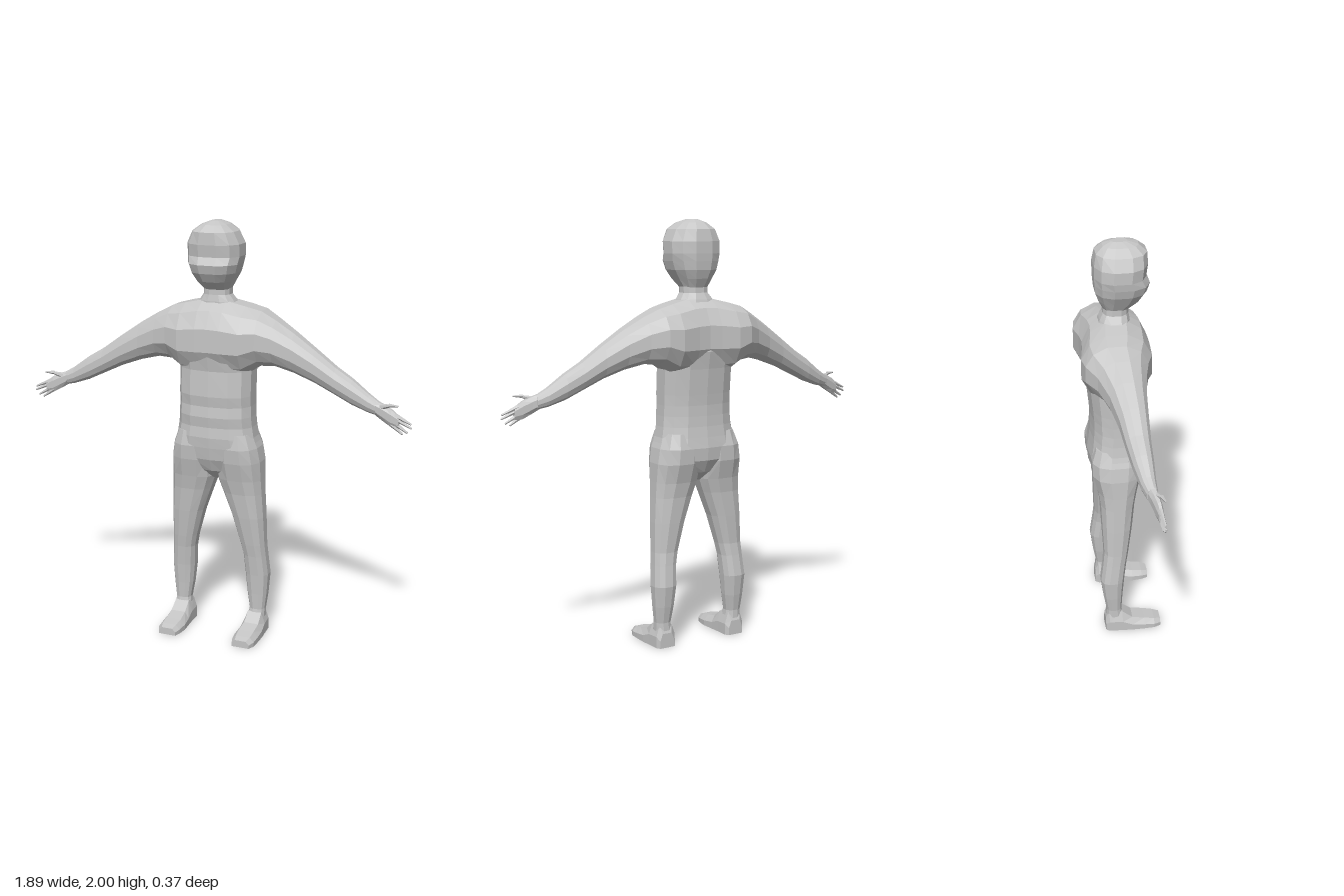
import * as THREE from 'three';

const skin = new THREE.MeshStandardMaterial({ color: 0xc6c6c6 });
skin.name = 'plain grey';

// Faceted mesh: unshared vertices give flat normals
function faceted(name, geometry) {
  const g = geometry.index ? geometry.toNonIndexed() : geometry;
  g.computeVertexNormals();
  const mesh = new THREE.Mesh(g, skin);
  mesh.name = name;
  return mesh;
}

// Rounded section between a0..a1 and b0..b1; low power = boxier
function section(a0, a1, b0, b1, place, sides = 12, power = 0.8) {
  const soft = (v) => Math.sign(v) * Math.pow(Math.abs(v), power);
  return Array.from({ length: sides }, (_, i) => {
    const t = ((i + 0.5) / sides) * Math.PI * 2;
    // stretch so that the outer corners reach the stated limits
    const k = 1 / soft(Math.cos(Math.PI / sides));
    const a = (a0 + a1) / 2 + ((a1 - a0) / 2) * soft(Math.cos(t)) * k;
    const b = (b0 + b1) / 2 + ((b1 - b0) / 2) * soft(Math.sin(t)) * k;
    return place(a, b);
  });
}

// Closed skin over a list of sections, wound outward
function loft(name, rings) {
  const tris = [];
  const n = rings[0].length;
  const centre = (r) => r.reduce((s, p) => s.add(p), new THREE.Vector3()).divideScalar(n);
  const first = centre(rings[0]);
  const last = centre(rings[rings.length - 1]);
  for (let i = 0; i < n; i++) {
    const j = (i + 1) % n;
    for (let r = 0; r < rings.length - 1; r++) {
      const a = rings[r], b = rings[r + 1];
      tris.push([a[i], a[j], b[j]], [a[i], b[j], b[i]]);
    }
    const end = rings[rings.length - 1];
    tris.push([first, rings[0][j], rings[0][i]], [last, end[i], end[j]]);
  }
  const volume = tris.reduce((s, [a, b, c]) => s + a.dot(b.clone().cross(c)), 0);
  const points = tris.flatMap(([a, b, c]) => (volume < 0 ? [a, c, b] : [a, b, c]));
  return faceted(name, new THREE.BufferGeometry().setFromPoints(points));
}

// Sections stacked up y: [y, x0, x1, zBack, zFront]
const upright = (name, rows, side = 1, sides = 12, power = 0.8) =>
  loft(name, rows.map(([y, x0, x1, z0, z1]) =>
    section(x0, x1, z0, z1, (x, z) => new THREE.Vector3(x * side, y, z), sides, power)));

// Sections along x: [x, yBottom, yTop, zBack, zFront]
const sideways = (name, rows, side = 1, sides = 12, power = 0.9) =>
  loft(name, rows.map(([x, y0, y1, z0, z1]) =>
    section(y0, y1, z0, z1, (y, z) => new THREE.Vector3(x * side, y, z), sides, power)));

// Tapered finger between two points
function finger(name, from, to, radius, side) {
  const a = new THREE.Vector3(from[0] * side, from[1], from[2]);
  const b = new THREE.Vector3(to[0] * side, to[1], to[2]);
  const dir = b.clone().sub(a);
  const mesh = faceted(name, new THREE.CylinderGeometry(radius * 0.4, radius, dir.length(), 6));
  mesh.position.copy(a).add(b).multiplyScalar(0.5);
  mesh.quaternion.setFromUnitVectors(new THREE.Vector3(0, 1, 0), dir.normalize());
  return mesh;
}

export function createModel() {
  const model = new THREE.Group();
  model.name = 'figure';

  // Head with brow, nose line, jaw and neck
  model.add(upright('head', [
    [1.69, -0.062, 0.062, -0.07, 0.05],
    [1.73, -0.085, 0.085, -0.09, 0.1],
    [1.77, -0.108, 0.108, -0.104, 0.125],
    [1.81, -0.12, 0.12, -0.108, 0.137],
    [1.845, -0.126, 0.126, -0.11, 0.12],
    [1.9, -0.126, 0.126, -0.11, 0.127],
    [1.955, -0.1, 0.1, -0.1, 0.125],
    [1.985, -0.06, 0.06, -0.068, 0.09],
    [2.0, -0.022, 0.022, -0.03, 0.04],
  ]));
  model.add(upright('neck', [
    [1.59, -0.11, 0.11, -0.1, 0.05],
    [1.635, -0.085, 0.085, -0.085, 0.05],
    [1.665, -0.064, 0.064, -0.07, 0.045],
    [1.71, -0.064, 0.064, -0.068, 0.045],
  ]));

  // Trunk from crotch to ribs, with shallow belly folds
  model.add(upright('trunk', [
    [0.785, -0.015, 0.015, -0.06, 0.03],
    [0.83, -0.09, 0.09, -0.11, 0.07],
    [0.89, -0.19, 0.19, -0.14, 0.095],
    [0.95, -0.208, 0.208, -0.145, 0.105],
    [1.0, -0.192, 0.192, -0.138, 0.11],
    [1.05, -0.184, 0.184, -0.132, 0.106],
    [1.1, -0.18, 0.18, -0.13, 0.113],
    [1.15, -0.178, 0.178, -0.13, 0.108],
    [1.2, -0.178, 0.178, -0.134, 0.115],
    [1.32, -0.178, 0.178, -0.146, 0.11],
    [1.4, -0.175, 0.175, -0.16, 0.125],
    [1.47, -0.13, 0.13, -0.15, 0.12],
  ], 1, 14));

  // Chest, shoulders and both arms as one skin, wrist to wrist
  const arm = [
    [0.06, 1.29, 1.638, -0.17, 0.136],
    [0.15, 1.3, 1.617, -0.186, 0.132],
    [0.22, 1.345, 1.598, -0.175, 0.105],
    [0.29, 1.35, 1.562, -0.13, 0.085],
    [0.38, 1.328, 1.508, -0.092, 0.07],
    [0.48, 1.292, 1.44, -0.066, 0.062],
    [0.58, 1.245, 1.368, -0.05, 0.056],
    [0.66, 1.207, 1.32, -0.036, 0.054],
    [0.74, 1.18, 1.262, -0.016, 0.05],
    [0.79, 1.17, 1.232, 0.002, 0.05],
  ];
  const mirrored = arm.map(([x, ...rest]) => [-x, ...rest]).reverse();
  model.add(sideways('chestAndArms', [...mirrored, [0, 1.29, 1.642, -0.164, 0.136], ...arm]));

  for (const [label, side] of [['left', 1], ['right', -1]]) {
    // Hand: palm, four fingers and thumb
    const hand = new THREE.Group();
    hand.name = label + 'Hand';
    hand.add(sideways('palm', [
      [0.775, 1.173, 1.238, 0.0, 0.05],
      [0.81, 1.152, 1.226, 0.014, 0.054],
      [0.85, 1.13, 1.208, 0.026, 0.058],
      [0.885, 1.128, 1.182, 0.036, 0.058],
    ], side, 8));
    [
      [[0.865, 1.185, 0.045], [0.942, 1.152, 0.054]],
      [[0.865, 1.17, 0.046], [0.945, 1.134, 0.055]],
      [[0.86, 1.152, 0.046], [0.927, 1.112, 0.055]],
      [[0.85, 1.142, 0.045], [0.905, 1.103, 0.053]],
    ].forEach(([a, b], i) => hand.add(finger('finger' + (i + 1), a, b, 0.011, side)));
    hand.add(finger('thumb', [0.8, 1.215, 0.04], [0.85, 1.23, 0.058], 0.014, side));
    hand.add(finger('thumbTip', [0.84, 1.229, 0.055], [0.883, 1.231, 0.064], 0.009, side));
    model.add(hand);

    // Leg from hip to ankle
    model.add(upright(label + 'Leg', [
      [0.06, 0.15, 0.235, -0.088, 0.0],
      [0.12, 0.158, 0.234, -0.086, -0.012],
      [0.2, 0.145, 0.243, -0.1, -0.008],
      [0.3, 0.135, 0.25, -0.113, 0.0],
      [0.4, 0.128, 0.242, -0.1, 0.012],
      [0.46, 0.115, 0.238, -0.094, 0.022],
      [0.6, 0.076, 0.234, -0.1, 0.042],
      [0.72, 0.032, 0.228, -0.104, 0.056],
      [0.79, 0.006, 0.225, -0.114, 0.07],
      [0.88, 0.0, 0.222, -0.138, 0.092],
      [0.95, 0.01, 0.21, -0.14, 0.1],
      [1.02, 0.04, 0.182, -0.12, 0.09],
    ], side));

    // Foot, heel to toe: [z, x0, x1, top]
    model.add(loft(label + 'Foot', [
      [-0.092, 0.155, 0.23, 0.07],
      [-0.075, 0.142, 0.242, 0.11],
      [-0.01, 0.14, 0.246, 0.105],
      [0.04, 0.137, 0.25, 0.066],
      [0.1, 0.132, 0.25, 0.052],
      [0.15, 0.138, 0.248, 0.043],
      [0.182, 0.148, 0.235, 0.034],
    ].map(([z, x0, x1, top]) => {
      const inset = (x1 - x0) * 0.18;
      return [[x0, 0], [x1, 0], [x1, top * 0.5], [x1 - inset, top], [x0 + inset, top], [x0, top * 0.5]]
        .map(([x, y]) => new THREE.Vector3(x * side, y, z));
    })));
  }
  return model;
}
